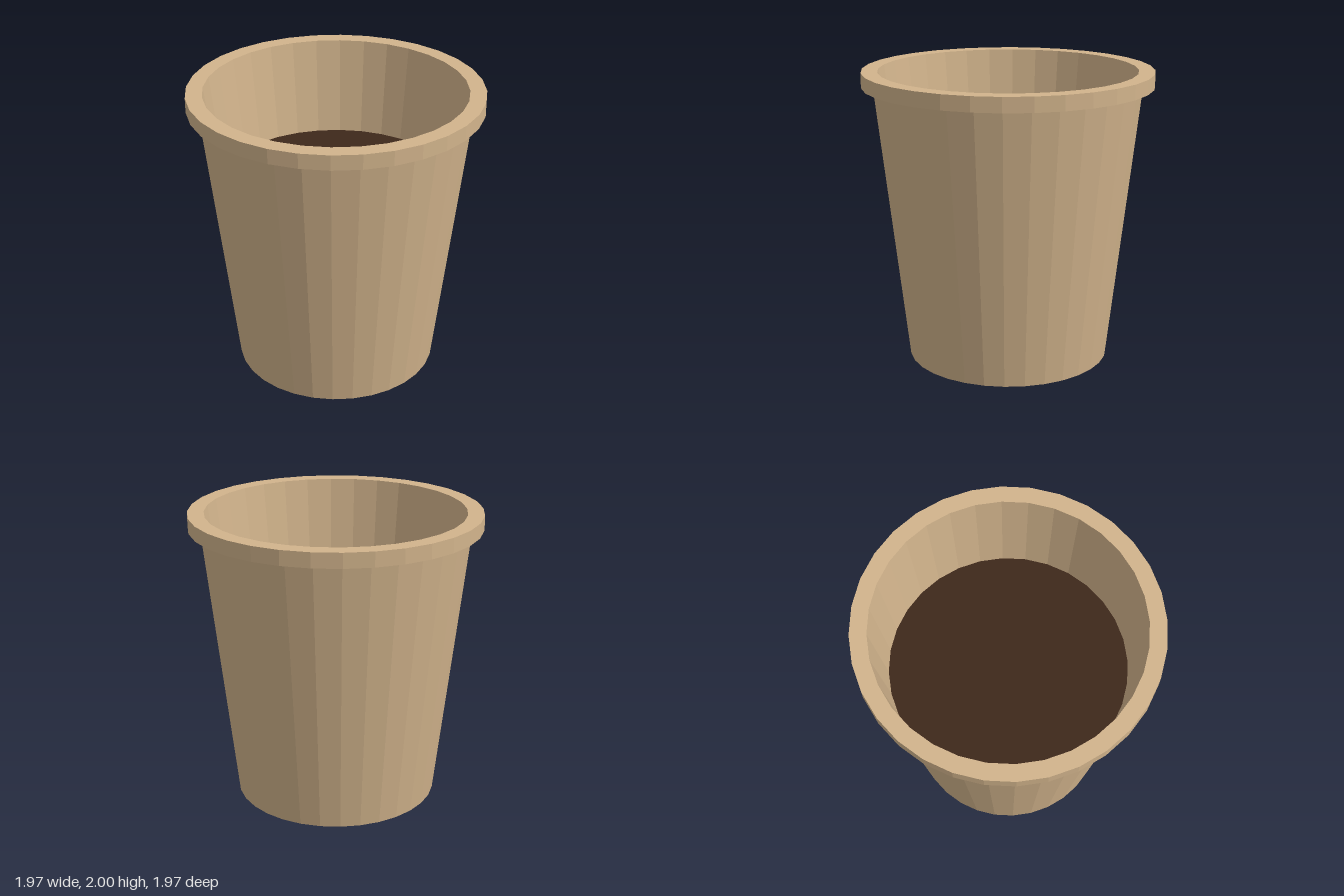
import * as THREE from 'three';

const SIDES = 32;

export function createModel() {
  const group = new THREE.Group();
  const paper = new THREE.MeshStandardMaterial({ color: 0xd2b48c, flatShading: true });
  const coffee = new THREE.MeshStandardMaterial({ color: 0x3e281b, flatShading: true });

  // radius of the inner wall at a given height
  const innerRadius = (y) => 0.645 + 0.115 * y;

  const add = (name, geometry, material, y = 0) => {
    const mesh = new THREE.Mesh(geometry, material);
    mesh.name = name;
    mesh.position.y = y;
    group.add(mesh);
  };

  // tapered wall with a square rim, one closed profile
  const profile = [
    [innerRadius(0), 0], [0.693, 0],
    [0.907, 1.9], [0.985, 1.9], [0.985, 2],
    [innerRadius(2), 2], [innerRadius(0), 0],
  ].map(([r, y]) => new THREE.Vector2(r, y));
  add('cupWall', new THREE.LatheGeometry(profile, SIDES), paper);

  // floor, raised a little above the foot ring
  add('cupFloor', new THREE.CylinderGeometry(innerRadius(0.1), innerRadius(0.05), 0.05, SIDES), paper, 0.075);

  // coffee surface
  const surface = new THREE.CircleGeometry(innerRadius(1.33), SIDES).rotateX(-Math.PI / 2);
  add('coffeeSurface', surface, coffee, 1.33);

  return group;
}
